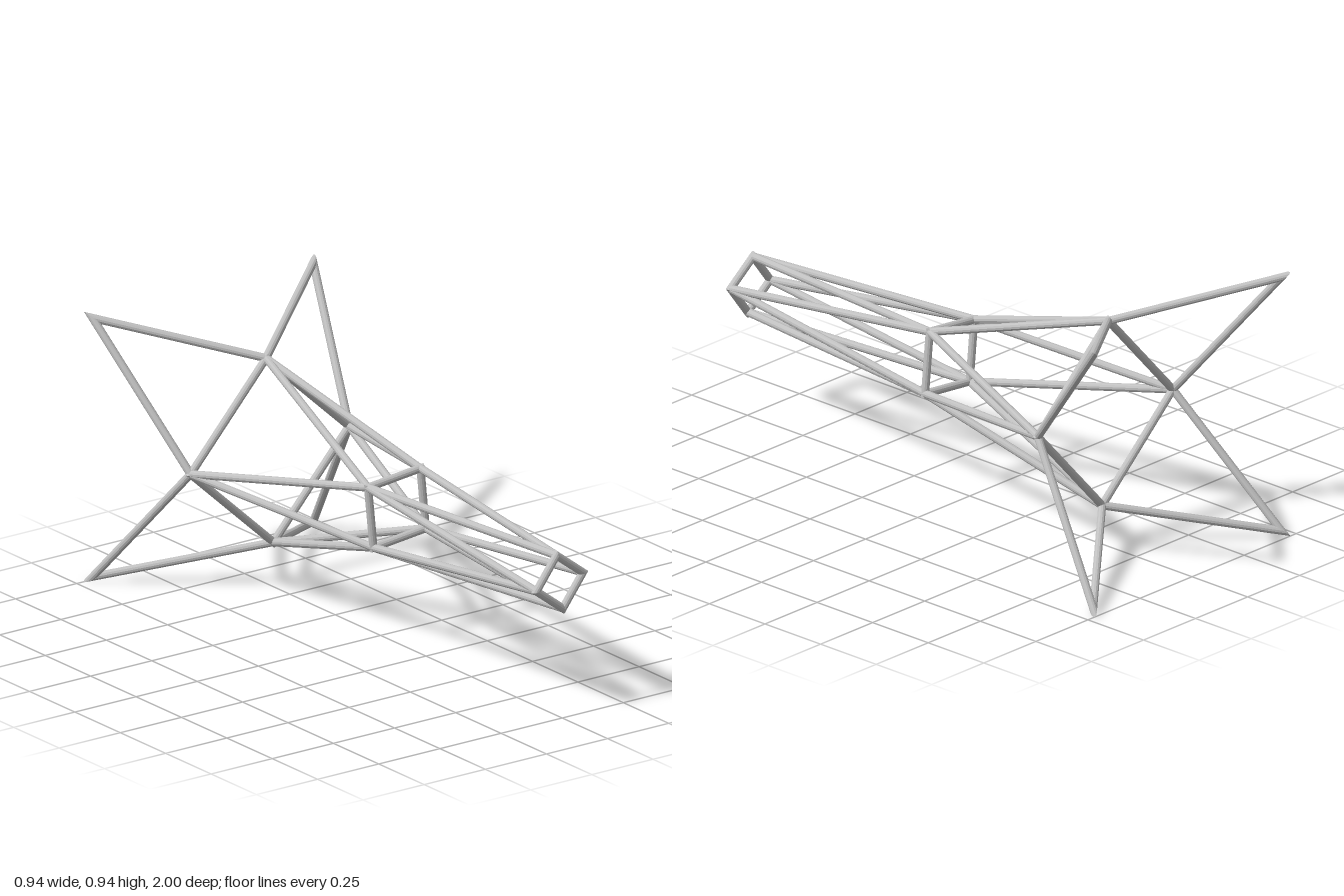
import * as THREE from 'three';

const RADIUS = 0.0135;
const SIDES = 12;
const CENTRE_Y = 0.47;

export function createModel() {
  const model = new THREE.Group();
  model.name = 'strutFrame';
  const steel = new THREE.MeshStandardMaterial({ color: 0xc0c0c0, flatShading: true });
  steel.name = 'light grey steel';

  // four nodes, each a quarter turn clockwise from the last
  const ring = (x, y, z) => [0, 1, 2, 3].map(() => {
    const p = new THREE.Vector3(x, CENTRE_Y + y, z);
    [x, y] = [y, -x];
    return p;
  });
  const nose = ring(-0.013, 0.095, 0.986);
  const waist = ring(0.096, 0.118, 0.09);
  const tail = ring(-0.015, 0.324, -0.61);
  const tips = ring(0.451, 0.451, -0.978);

  const direction = (a, b) => b.clone().sub(a).normalize();

  // round bar from a to b, each end cut by a plane with the given normal
  function strut(name, a, b, cutA, cutB, parent) {
    const axis = direction(a, b);
    const length = a.distanceTo(b);
    const geometry = new THREE.CylinderGeometry(RADIUS, RADIUS, length, SIDES);
    const turn = new THREE.Quaternion().setFromUnitVectors(new THREE.Vector3(0, 1, 0), axis);
    geometry.applyQuaternion(turn);
    const middle = a.clone().add(b).multiplyScalar(0.5);
    geometry.translate(middle.x, middle.y, middle.z);
    const pos = geometry.attributes.position;
    const p = new THREE.Vector3();
    for (let i = 0; i < pos.count; i++) {
      p.fromBufferAttribute(pos, i);
      const atEnd = p.clone().sub(a).dot(axis) > length / 2;
      const node = atEnd ? b : a;
      const cut = (atEnd ? cutB : cutA) || axis;
      p.addScaledVector(axis, -p.clone().sub(node).dot(cut) / axis.dot(cut));
      pos.setXYZ(i, p.x, p.y, p.z);
    }
    const mesh = new THREE.Mesh(geometry, steel);
    mesh.name = name;
    parent.add(mesh);
  }

  function group(name) {
    const g = new THREE.Group();
    g.name = name;
    model.add(g);
    return g;
  }

  // square frames with mitred corners
  function frame(name, nodes) {
    const g = group(name);
    const n = nodes.length;
    const dirs = nodes.map((p, i) => direction(p, nodes[(i + 1) % n]));
    const cuts = dirs.map((d, i) => d.clone().add(dirs[(i + n - 1) % n]).normalize());
    nodes.forEach((p, i) => {
      const j = (i + 1) % n;
      strut('frameBar', p, nodes[j], cuts[i], cuts[j], g);
    });
  }
  frame('noseFrame', nose);
  frame('waistFrame', waist);
  frame('tailFrame', tail);

  // long bars joining the frames, and the pointed fins
  const noseBars = group('noseBars');
  const tailBars = group('tailBars');
  const fins = group('tailFins');
  for (let i = 0; i < 4; i++) {
    const j = (i + 1) % 4;
    for (const k of [i, j]) {
      strut('noseBar', nose[k], waist[i], null, null, noseBars);
      strut('tailBar', waist[i], tail[k], null, null, tailBars);
    }
    const cut = direction(tail[i], tips[i]).add(direction(tips[i], tail[j])).normalize();
    strut('finBar', tail[i], tips[i], null, cut, fins);
    strut('finBar', tips[i], tail[j], cut, null, fins);
  }

  return model;
}
